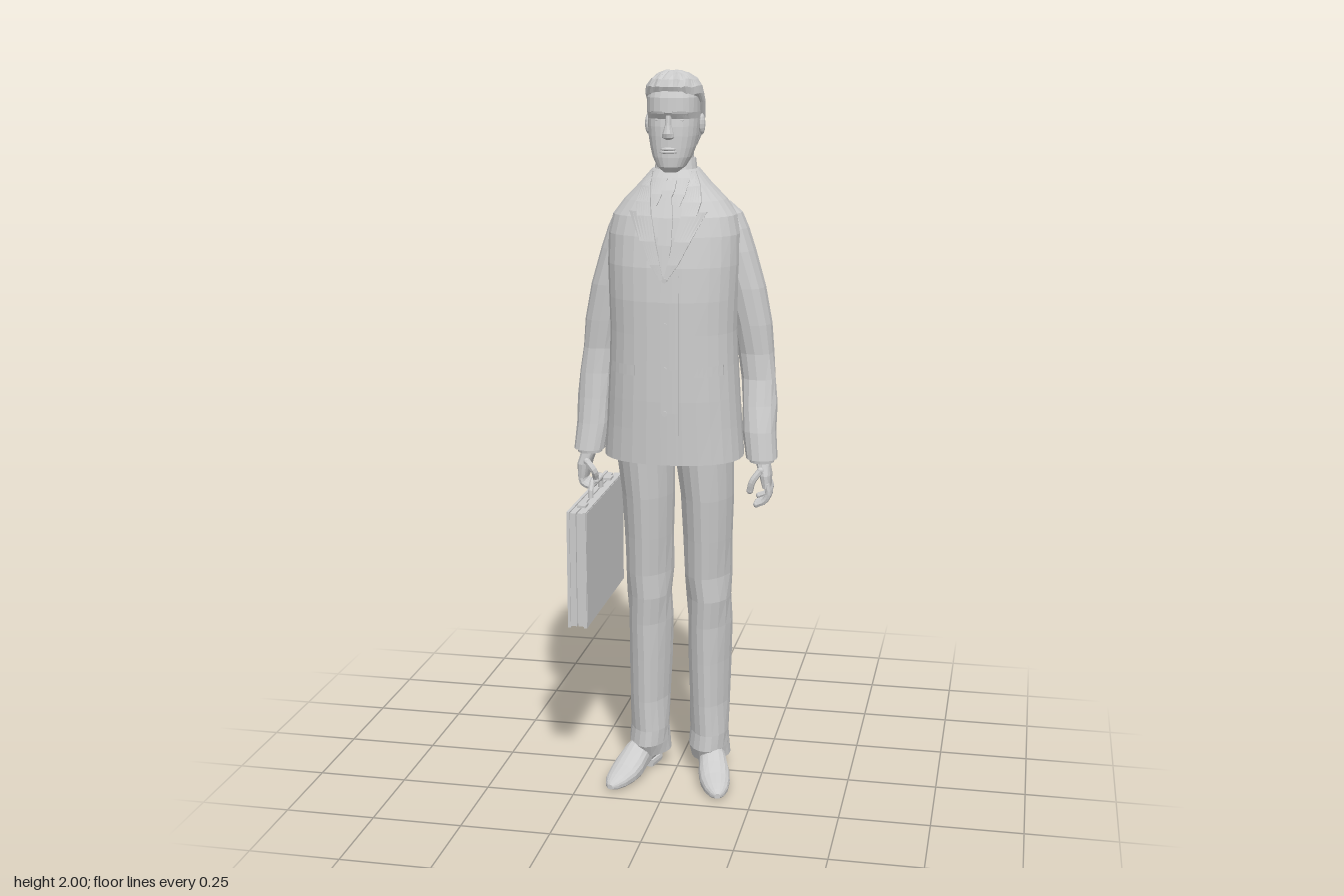
import * as THREE from 'three';
import { mergeGeometries } from 'three/addons/utils/BufferGeometryUtils.js';

const grey = new THREE.MeshStandardMaterial({ color: 0xcccccc, flatShading: true, side: THREE.DoubleSide });
grey.name = 'plain grey';

const spow = (v, e) => Math.sign(v) * Math.pow(Math.abs(v), e);

// Capped stack of rings [y, centreX, halfWidth, zFront, zBack], listed from low to high
function loft(rings, seg = 20, nFront = 2, nBack = nFront, bend = null) {
  const pos = [], idx = [];
  const put = (x, y, z) => { const p = [x, y, z]; if (bend) bend(p); pos.push(...p); };
  for (const [y, cx, rx, f, b] of rings) {
    for (let i = 0; i < seg; i++) {
      const a = (i / seg) * Math.PI * 2, c = Math.cos(a);
      const e = 2 / (c > 0 ? nFront : nBack);
      put(cx + rx * spow(Math.sin(a), e), y, (f + b) / 2 + ((f - b) / 2) * spow(c, e));
    }
  }
  const n = rings.length, low = n * seg, high = low + 1;
  for (const r of [rings[0], rings[n - 1]]) put(r[1], r[0], (r[3] + r[4]) / 2);
  for (let i = 0; i < seg; i++) {
    const j = (i + 1) % seg, t = (n - 1) * seg;
    for (let k = 0; k < n - 1; k++) {
      const o = k * seg, u = o + seg;
      idx.push(o + i, o + j, u + j, o + i, u + j, u + i);
    }
    idx.push(low, j, i, high, t + i, t + j);
  }
  return build(pos, idx);
}

function build(pos, idx) {
  const g = new THREE.BufferGeometry();
  g.setAttribute('position', new THREE.Float32BufferAttribute(pos, 3));
  g.setIndex(idx);
  g.computeVertexNormals();
  return g;
}

// Depth of the front of a loft at a given x and y
function frontZ(rings, n, x, y) {
  let k = 0;
  while (k < rings.length - 2 && rings[k + 1][0] < y) k++;
  const t = THREE.MathUtils.clamp((y - rings[k][0]) / (rings[k + 1][0] - rings[k][0]), 0, 1);
  const [, cx, rx, f, b] = rings[k].map((v, i) => v + (rings[k + 1][i] - v) * t);
  const q = Math.min(1, Math.abs((x - cx) / rx));
  return (f + b) / 2 + ((f - b) / 2) * Math.pow(1 - Math.pow(q, n), 1 / n);
}

// Raised cloth panel lying on a loft; rows are [y, x1, x2] from low to high
function panel(rings, n, rows, lift, side = 1) {
  const pos = [], idx = [], cols = 8;
  rows.forEach(([y, a, b], r) => {
    const l = Math.min(a * side, b * side), w = Math.abs(b - a);
    for (let c = 0; c <= cols; c++) {
      const u = c === 0 ? 0 : c === cols ? 1 : (c - 1) / (cols - 2);
      const x = l + w * u, edge = c === 0 || c === cols;
      pos.push(x, y, frontZ(rings, n, x, y) + (edge ? -0.004 : lift));
    }
    if (r) for (let c = 0; c < cols; c++) {
      const o = (r - 1) * (cols + 1) + c, p = o + cols + 1;
      idx.push(o, o + 1, p + 1, o, p + 1, p);
    }
  });
  return build(pos, idx);
}

const box = (w, h, d, x, y, z) => new THREE.BoxGeometry(w, h, d).translate(x, y, z);
const ball = (rx, ry, rz, x, y, z) => new THREE.SphereGeometry(1, 10, 8).scale(rx, ry, rz).translate(x, y, z);

// Rounded tube through points
function tube(points, r) {
  const v = points.map(p => new THREE.Vector3(...p)), e = v[v.length - 1];
  return mergeGeometries([
    new THREE.TubeGeometry(new THREE.CatmullRomCurve3(v), 8, r, 7),
    ball(r, r, r, e.x, e.y, e.z), ball(r, r, r, v[0].x, v[0].y, v[0].z)]);
}

const torso = [
  [0.955, 0, 0.193, 0.185, -0.105], [1.05, 0, 0.186, 0.188, -0.107], [1.13, 0, 0.181, 0.19, -0.103],
  [1.22, 0, 0.176, 0.19, -0.099], [1.31, 0, 0.173, 0.19, -0.098], [1.4, 0, 0.176, 0.19, -0.1],
  [1.49, 0, 0.18, 0.183, -0.105], [1.57, 0, 0.179, 0.167, -0.102], [1.62, 0, 0.168, 0.152, -0.096],
  [1.66, 0, 0.138, 0.133, -0.087], [1.7, 0, 0.098, 0.113, -0.068], [1.74, 0, 0.063, 0.082, -0.046]];
const skull = [
  [1.735, 0, 0.018, 0.112, 0.06], [1.75, 0, 0.038, 0.124, 0.03], [1.775, 0, 0.052, 0.126, 0],
  [1.8, 0, 0.06, 0.125, -0.02], [1.83, 0, 0.066, 0.124, -0.035], [1.855, 0, 0.068, 0.122, -0.04],
  [1.875, 0, 0.069, 0.118, -0.042], [1.892, 0, 0.07, 0.13, -0.043], [1.93, 0, 0.07, 0.127, -0.043],
  [1.96, 0, 0.062, 0.113, -0.035], [1.985, 0, 0.04, 0.085, -0.01]];

export function createModel() {
  const man = new THREE.Group();
  man.name = 'businessman';
  const add = (name, ...geos) => {
    const flat = geos.map(g => { const h = g.index ? g.toNonIndexed() : g; h.deleteAttribute('uv'); return h; });
    const m = new THREE.Mesh(flat.length > 1 ? mergeGeometries(flat) : flat[0], grey);
    m.name = name;
    man.add(m);
  };

  // Jacket body, front opening and buttons
  add('jacket', loft(torso, 28, 2.25, 2.5));
  add('jacketFrontEdge', panel(torso, 2.25, [0.957, 1.1, 1.22, 1.31, 1.4, 1.47].map(y => [y, -0.008, 0.04]), 0.003));
  for (const y of [1.1, 1.22, 1.34, 1.46])
    add('button', new THREE.CylinderGeometry(0.007, 0.007, 0.008, 10).rotateX(Math.PI / 2).translate(0.004, y, 0.193));

  // Neck, shirt collar and tie
  add('neck', loft([[1.66, 0, 0.052, 0.075, -0.035], [1.76, 0, 0.049, 0.068, -0.034], [1.83, 0, 0.05, 0.07, -0.036]], 16));
  add('shirtCollar', loft([[1.69, 0, 0.07, 0.105, -0.052], [1.735, 0, 0.058, 0.083, -0.046], [1.768, 0, 0.053, 0.068, -0.04]], 18));
  add('tie', panel(torso, 2.25, [[1.47, -0.008, 0.008], [1.55, -0.018, 0.018], [1.62, -0.018, 0.018], [1.675, -0.01, 0.01]], 0.006));
  add('tieKnot', panel(torso, 2.25, [[1.672, -0.011, 0.011], [1.69, -0.018, 0.018], [1.715, -0.02, 0.02]], 0.012));

  for (const s of [1, -1]) {
    const side = s > 0 ? 'left' : 'right';
    const m = r => r.map(([y, x, ...rest]) => [y, s * x, ...rest]);

    // Lapels, collar leaf, shirt points and pocket flaps
    add(side + 'Lapel', panel(torso, 2.25, [[1.46, 0, 0.01], [1.5, 0.01, 0.038], [1.56, 0.025, 0.068], [1.635, 0.042, 0.105]], 0.008, s));
    add(side + 'JacketCollar', panel(torso, 2.25, [[1.625, 0.04, 0.08], [1.66, 0.046, 0.088], [1.7, 0.052, 0.08], [1.735, 0.052, 0.062]], 0.01, s));
    add(side + 'ShirtPoint', panel(torso, 2.25, [[1.65, 0.028, 0.034], [1.68, 0.016, 0.045], [1.72, 0.006, 0.052]], 0.006, s));
    add(side + 'PocketFlap', panel(torso, 2.25, [[1.2, 0.08, 0.152], [1.228, 0.08, 0.152]], 0.007, s));

    // Sleeve: rings from cuff to shoulder
    const d = s > 0 ? 0 : -0.022;
    add(side + 'Sleeve', loft(m([
      [0.955, 0.246, 0.043, 0.092 + d, 0.0 + d], [1.03, 0.239, 0.046, 0.08 + d, -0.012 + d],
      [1.1, 0.233, 0.047, 0.06 + d / 2, -0.032 + d / 2], [1.17, 0.227, 0.048, 0.042, -0.054],
      [1.24, 0.221, 0.049, 0.038, -0.068], [1.32, 0.209, 0.052, 0.046, -0.077], [1.42, 0.187, 0.055, 0.053, -0.084],
      [1.52, 0.157, 0.056, 0.056, -0.09], [1.58, 0.14, 0.053, 0.052, -0.089], [1.62, 0.13, 0.045, 0.04, -0.082],
      [1.648, 0.115, 0.028, 0.012, -0.06]]), 14, 2.2, 2.2,
      p => { if (p[1] > 0.97 && p[1] < 1.3) p[0] += s * 0.003 * Math.sin(p[1] * 70 + p[2] * 40); }));
    add(side + 'ShirtCuff', loft(m([[0.944, 0.246, 0.034, 0.08 + d, 0.01 + d], [0.965, 0.246, 0.036, 0.083 + d, 0.007 + d]]), 14));

    // Trouser leg, pointed front and back for the pressed crease
    const k = s > 0 ? [0.095, 0.094, 0.091, 0.082] : [0.08, 0.078, 0.077, 0.084];
    add(side + 'TrouserLeg', loft(m([
      [0.05, k[0], 0.056, 0.062, -0.086], [0.085, k[0], 0.057, 0.08, -0.086], [0.13, k[0], 0.056, 0.076, -0.09],
      [0.22, k[0], 0.056, 0.077, -0.096], [0.35, k[1], 0.06, 0.085, -0.1], [0.46, k[1], 0.062, 0.092, -0.095],
      [0.54, k[1], 0.064, 0.102, -0.09], [0.61, k[2], 0.066, 0.106, -0.086], [0.72, k[2], 0.069, 0.119, -0.083],
      [0.84, k[2], 0.074, 0.134, -0.08], [0.98, k[3], 0.083, 0.148, -0.076]]), 18, 1.8, 1.9,
      p => { if (p[1] < 0.7) p[0] += 0.003 * Math.sin(p[1] * 45 + p[2] * 30); }));

    // Shoe with separate heel, built along its length then laid down and toed out
    const lay = g => g.rotateX(Math.PI / 2).rotateY(s * 0.26).translate(s * (s > 0 ? 0.085 : 0.08), 0, -0.056);
    add(side + 'Shoe', lay(loft([
      [0, 0, 0.022, -0.018, -0.06], [0.015, 0, 0.034, -0.018, -0.08], [0.08, 0, 0.036, -0.018, -0.1],
      [0.12, 0, 0.04, -0.01, -0.09], [0.16, 0, 0.044, -0.002, -0.07], [0.2, 0, 0.042, -0.001, -0.052],
      [0.24, 0, 0.033, -0.002, -0.04], [0.265, 0, 0.021, -0.004, -0.031], [0.278, 0, 0.008, -0.008, -0.022]], 16, 3.5, 2)));
    add(side + 'ShoeHeel', lay(loft([[0.0, 0, 0.026, 0, -0.025], [0.015, 0, 0.034, 0, -0.025], [0.075, 0, 0.034, 0, -0.025]], 12, 6)));

    // Ear, eye and brow
    add(side + 'Ear', ball(0.009, 0.028, 0.016, s * 0.073, 1.858, 0.03));
    add(side + 'Eye', ball(0.012, 0.006, 0.006, s * 0.028, 1.872, 0.107));
    add(side + 'Brow', panel(skull, 2.3, [[1.882, 0.012, 0.046], [1.889, 0.01, 0.05], [1.895, 0.014, 0.046]], 0.004, s));
  }

  // Head, nose, lips and hair
  add('head', loft(skull, 24, 2.3, 2.1));
  add('nose', loft([[1.822, 0, 0.01, 0.128, 0.1], [1.828, 0, 0.017, 0.143, 0.1], [1.838, 0, 0.015, 0.146, 0.1],
    [1.86, 0, 0.009, 0.137, 0.1], [1.885, 0, 0.008, 0.129, 0.1]], 10));
  add('lips', ball(0.024, 0.005, 0.008, 0, 1.789, 0.121), ball(0.021, 0.005, 0.008, 0, 1.797, 0.122));
  add('hair', loft([
    [1.8, 0, 0.052, 0.005, -0.038], [1.84, 0, 0.068, 0.015, -0.046], [1.88, 0, 0.075, 0.035, -0.05],
    [1.915, 0, 0.078, 0.07, -0.05], [1.938, 0, 0.077, 0.115, -0.049], [1.958, 0, 0.073, 0.124, -0.045],
    [1.977, 0, 0.061, 0.115, -0.033], [1.99, 0, 0.043, 0.098, -0.012], [1.997, 0, 0.022, 0.077, 0.018]], 44, 2.3, 2.2,
    p => { const w = Math.sin(p[0] * 260 + p[2] * 25); p[1] += 0.002 * w; p[2] += 0.0025 * w; }));

  // Left hand, hanging with loosely curled fingers
  add('leftHand', loft([[0.875, 0.262, 0.012, 0.082, 0.014], [0.91, 0.258, 0.017, 0.083, 0.012], [0.95, 0.248, 0.021, 0.07, 0.02]], 12, 2.5));
  for (let i = 0; i < 4; i++) {
    const z = 0.022 + i * 0.017, e = i === 0 ? 0.012 : 0;
    add('leftFinger', tube([[0.264, 0.885, z], [0.269, 0.858 + e, z], [0.257, 0.837 + e, z], [0.236, 0.828 + e, z]], 0.0088));
  }
  add('leftThumb', tube([[0.247, 0.925, 0.075], [0.226, 0.895, 0.084], [0.219, 0.868, 0.08]], 0.0095));

  // Right hand, wrapped around the case handle
  add('rightHand', loft([[0.87, -0.266, 0.014, 0.05, -0.022], [0.91, -0.262, 0.02, 0.054, -0.024], [0.95, -0.247, 0.022, 0.048, -0.004]], 12, 2.5));
  for (let i = 0; i < 4; i++) {
    const z = -0.014 + i * 0.018;
    add('rightFinger', tube([[-0.269, 0.885, z], [-0.265, 0.856, z], [-0.242, 0.846, z], [-0.225, 0.862, z]], 0.0088));
  }
  add('rightThumb', tube([[-0.25, 0.92, 0.048], [-0.228, 0.895, 0.054], [-0.226, 0.872, 0.04]], 0.0095));

  // Briefcase: two shells, seam, side panels, latches and handle
  for (const [x, out] of [[-0.2215, 1], [-0.2515, -1]]) {
    add('caseShell', box(0.026, 0.325, 0.446, x, 0.655, 0));
    add('caseRim', box(0.008, 0.332, 0.454, x + out * 0.008, 0.655, 0));
  }
  add('caseSeam', box(0.02, 0.312, 0.432, -0.2365, 0.655, 0));
  add('caseSidePanel', box(0.008, 0.23, 0.31, -0.269, 0.655, 0));
  for (const z of [-0.15, 0.15]) add('caseLatch', box(0.024, 0.008, 0.036, -0.2365, 0.82, z));
  add('caseHandle', tube([[-0.2365, 0.815, -0.06], [-0.2365, 0.852, -0.052], [-0.2365, 0.864, 0],
    [-0.2365, 0.852, 0.052], [-0.2365, 0.815, 0.06]], 0.008));
  return man;
}
